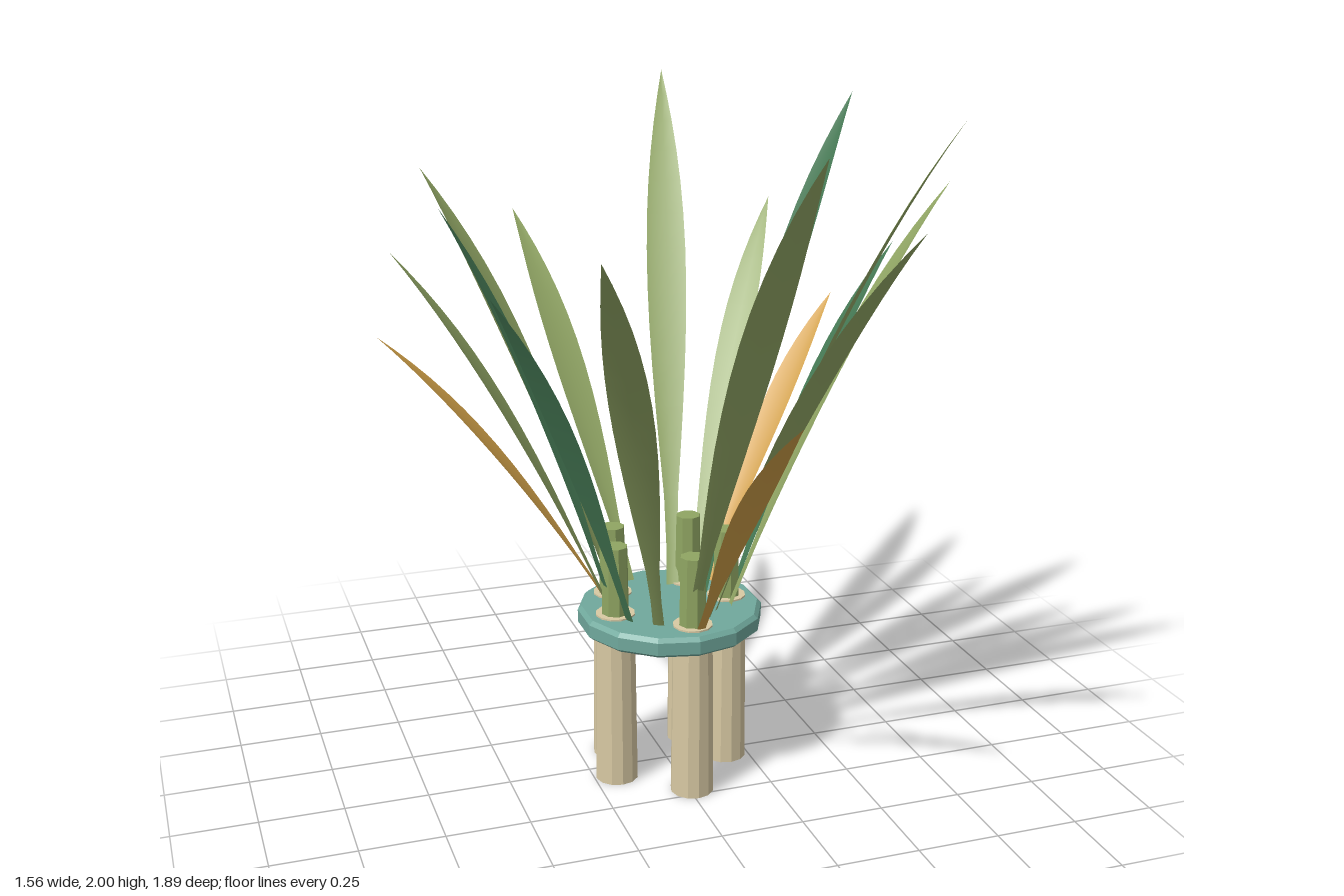
import * as THREE from 'three';

const mat = (color, extra = {}) => new THREE.MeshStandardMaterial({ color, flatShading: true, ...extra });
const CREAM = mat(0xd8c9a3), TEAL = mat(0x70a89c), STEM = mat(0x8fa562);
const leafMat = (color) => mat(color, { side: THREE.DoubleSide, flatShading: false });
const OLIVE = leafMat(0x93a866), GREEN = leafMat(0x467a55), YELLOW = leafMat(0xcf9f48);

// Blade with a shallow central fold, swept along an arching curve
function leafGeometry(base, tip, width) {
  const mid = base.clone().lerp(tip, 0.5);
  mid.y += (tip.y - base.y) * 0.16;
  const curve = new THREE.QuadraticBezierCurve3(base, mid, tip);
  const side = new THREE.Vector3(tip.z - base.z, 0, base.x - tip.x).normalize();
  const rows = 14, pos = [], index = [];
  for (let i = 0; i <= rows; i++) {
    const t = i / rows;
    const p = curve.getPoint(t);
    const normal = curve.getTangent(t).cross(side).normalize();
    if (normal.y < 0) normal.negate();
    // narrow foot, widest past the middle, pointed tip
    const bulge = Math.sin(Math.PI * Math.pow(t, 1.12));
    const half = (width / 2) * Math.max(bulge, 0.3 * (1 - t));
    for (const s of [-1, 0, 1]) {
      const v = p.clone().addScaledVector(side, s * half).addScaledVector(normal, Math.abs(s) * half * 0.15);
      pos.push(v.x, v.y, v.z);
    }
    if (i < rows) {
      for (const k of [0, 1]) {
        const a = i * 3 + k, b = a + 1, c = a + 3, d = a + 4;
        index.push(a, b, c, b, d, c);
      }
    }
  }
  const g = new THREE.BufferGeometry();
  g.setAttribute('position', new THREE.Float32BufferAttribute(pos, 3));
  g.setIndex(index);
  g.computeVertexNormals();
  return g;
}

export function createModel() {
  const model = new THREE.Group();
  model.name = 'pottedCanePlant';
  const add = (geometry, material, name, x = 0, y = 0, z = 0) => {
    const m = new THREE.Mesh(geometry, material);
    m.name = name;
    m.position.set(x, y, z);
    model.add(m);
    return m;
  };

  // Bevelled tray
  const profile = [[0, 0.475], [0.265, 0.475], [0.277, 0.485], [0.277, 0.523], [0.265, 0.535], [0, 0.535]]
    .map(([r, y]) => new THREE.Vector2(r, y));
  add(new THREE.LatheGeometry(profile, 14), TEAL, 'tray', 0, 0, 0.03);

  // Canes through the tray, each with a green stem on top
  const canes = [[0.11, -0.12], [-0.14, -0.1], [-0.18, 0.06], [0.01, 0.21], [0.18, 0.03]];
  for (const [x, z] of canes) {
    add(new THREE.CylinderGeometry(0.059, 0.065, 0.54, 12), CREAM, 'cane', x, 0.27, z);
    add(new THREE.CylinderGeometry(0.038, 0.042, 0.23, 8), STEM, 'stem', x, 0.635, z);
  }

  // Leaves: base x, base z, tip x, tip y, tip z, material
  const leaves = [
    [0.05, -0.09, 0.30, 2.00, -0.95, OLIVE],
    [0.13, -0.15, 0.62, 1.59, -0.78, OLIVE],
    [0.16, -0.09, 0.71, 1.33, -0.45, YELLOW],
    [0.12, -0.02, 0.65, 2.00, -0.20, GREEN],
    [0.19, 0.03, 0.69, 1.59, 0.03, GREEN],
    [0.16, 0.10, 0.78, 1.79, 0.20, OLIVE],
    [0.11, 0.12, 0.68, 2.00, 0.47, OLIVE],
    [0.06, 0.17, 0.38, 1.79, 0.86, OLIVE],
    [0.01, 0.19, 0.08, 2.00, 0.94, OLIVE],
    [0.02, 0.24, 0.06, 1.33, 0.88, YELLOW],
    [-0.08, 0.17, -0.47, 1.79, 0.94, OLIVE],
    [-0.15, 0.12, -0.60, 1.59, 0.37, GREEN],
    [-0.18, 0.06, -0.68, 1.79, 0.15, GREEN],
    [-0.17, -0.05, -0.74, 1.59, -0.28, OLIVE],
    [-0.16, -0.09, -0.78, 1.33, -0.34, YELLOW],
    [-0.13, -0.10, -0.60, 1.79, -0.51, OLIVE],
    [-0.06, -0.16, -0.24, 1.59, -0.85, OLIVE],
  ];
  for (const [bx, bz, tx, ty, tz, material] of leaves) {
    const width = 0.09 + (ty - 1.33) * 0.05;
    const base = new THREE.Vector3(bx, 0.51, bz), tip = new THREE.Vector3(tx, ty, tz);
    add(leafGeometry(base, tip, width), material, 'leaf');
  }
  return model;
}
